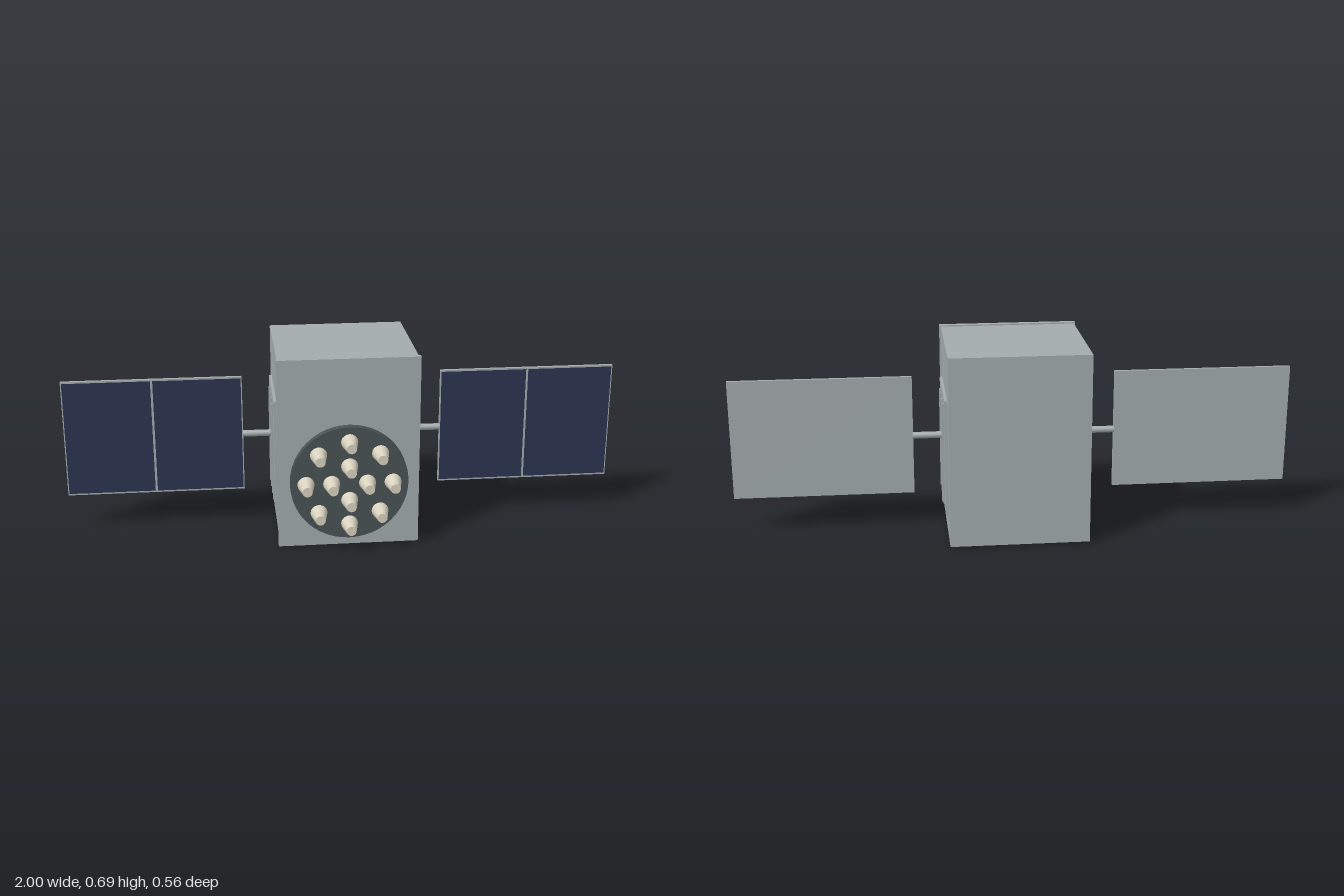
import * as THREE from 'three';

const mat = (name, color) => {
  const m = new THREE.MeshStandardMaterial({ color });
  m.name = name;
  return m;
};

export function createModel() {
  const grey = mat('hull grey', 0xa3abad);
  const navy = mat('solar cell navy', 0x2c3450);
  const dark = mat('antenna plate charcoal', 0x495255);
  const cream = mat('horn cream', 0xd9d2bf);
  const model = new THREE.Group();
  model.name = 'satellite';

  const add = (parent, name, geometry, material) => {
    const mesh = new THREE.Mesh(geometry, material);
    mesh.name = name;
    parent.add(mesh);
    return mesh;
  };
  // Box given by its limits on each axis
  const box = (parent, name, material, [x0, x1], [y0, y1], [z0, z1]) => {
    const mesh = add(parent, name, new THREE.BoxGeometry(x1 - x0, y1 - y0, z1 - z0), material);
    mesh.position.set((x0 + x1) / 2, (y0 + y1) / 2, (z0 + z1) / 2);
    return mesh;
  };

  // Hull and the slightly larger front plate
  box(model, 'hull', grey, [-0.245, 0.245], [0.007, 0.685], [-0.282, 0.166]);
  box(model, 'frontPlate', grey, [-0.25, 0.25], [0, 0.69], [0.166, 0.186]);

  // Round antenna plate with two rings of horns
  const antenna = new THREE.Group();
  antenna.name = 'antenna';
  antenna.position.set(0, 0.244, 0.186);
  model.add(antenna);
  const plate = new THREE.CylinderGeometry(0.208, 0.208, 0.027, 48).rotateX(Math.PI / 2);
  add(antenna, 'antennaPlate', plate, dark).position.z = 0.0135;

  const hornGeometry = new THREE.CylinderGeometry(0.0175, 0.03, 0.07, 20).rotateX(Math.PI / 2);
  for (const [count, radius] of [[8, 0.153], [4, 0.063]]) {
    for (let i = 0; i < count; i++) {
      const a = (i / count) * Math.PI * 2;
      add(antenna, 'horn', hornGeometry, cream)
        .position.set(Math.cos(a) * radius, Math.sin(a) * radius, 0.062);
    }
  }

  // Side radiators, booms and solar wings; the right side is the left turned about z
  for (const side of [1, -1]) {
    const label = side > 0 ? 'left' : 'right';
    const span = (a, b) => (side > 0 ? [a, b] : [-b, -a]);
    const group = new THREE.Group();
    group.name = label + 'Side';
    model.add(group);

    box(group, 'radiator', grey, span(0.24, 0.255), [0.094, 0.515], [-0.208, 0.099]);
    for (const z of [0.04, -0.023, -0.087, -0.15]) {
      box(group, 'radiatorRib', grey, span(0.25, 0.261), [0.121, 0.489], [z - 0.004, z + 0.004]);
    }

    const boom = new THREE.CylinderGeometry(0.012, 0.012, 0.12, 16).rotateZ(Math.PI / 2);
    add(group, 'boom', boom, grey).position.set(side * 0.302, 0.345, -0.054);

    box(group, 'wingPanel', grey, span(0.36, 1), [0.131, 0.563], [-0.0605, -0.0485]);
    for (const [a, b] of [[0.364, 0.677], [0.685, 0.996]]) {
      box(group, 'solarCells', navy, span(a, b), [0.137, 0.557], [-0.05, -0.0475]);
    }
  }
  return model;
}
